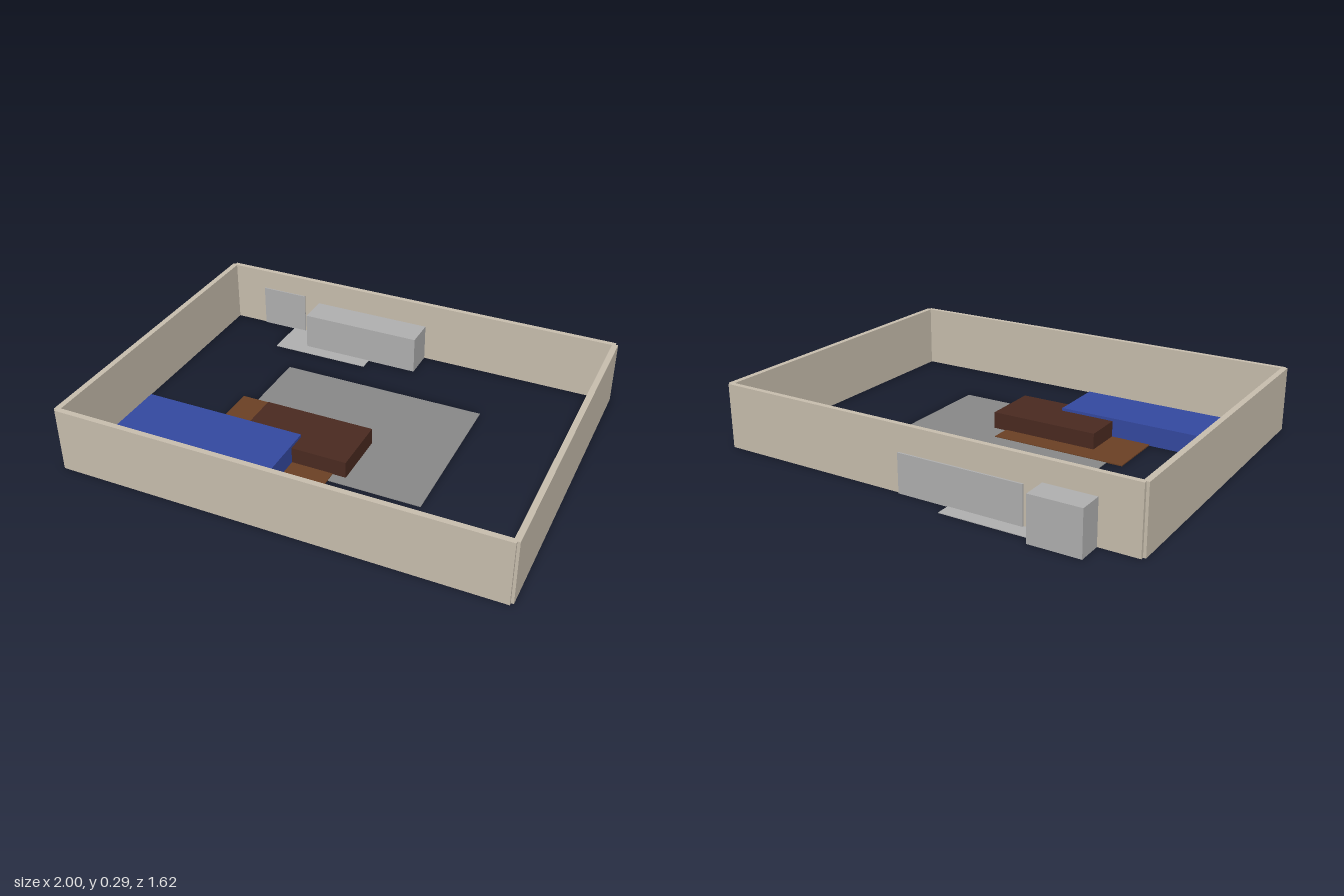
import * as THREE from 'three';

// Box given by its extents in x, y and z
function block(name, color, [x0, x1], [y0, y1], [z0, z1]) {
  const mesh = new THREE.Mesh(
    new THREE.BoxGeometry(x1 - x0, y1 - y0, z1 - z0),
    new THREE.MeshStandardMaterial({ color })
  );
  mesh.position.set((x0 + x1) / 2, (y0 + y1) / 2, (z0 + z1) / 2);
  mesh.name = name;
  return mesh;
}

export function createModel() {
  const room = new THREE.Group();
  room.name = 'room';
  const TAN = 0xc8beae, GREY = 0xb0b0b0;

  // Four walls, overlapping at the corners
  const walls = new THREE.Group();
  walls.name = 'walls';
  const height = [0, 0.295];
  walls.add(
    block('backWall', TAN, [-0.988, 0.988], height, [-0.7, -0.676]),
    block('frontWall', TAN, [-0.988, 0.988], height, [0.78, 0.805])
  );
  for (const [name, s] of [['leftWall', 1], ['rightWall', -1]]) {
    const wall = block(name, TAN, [0.974, 1], height, [-0.686, 0.793]);
    wall.position.x *= s;
    walls.add(wall);
  }
  room.add(walls);

  // Kitchen units and floor panel at the back wall
  const units = new THREE.Group();
  units.name = 'backUnits';
  units.add(
    block('tallUnit', GREY, [-0.813, -0.583], [0, 0.2], [-0.813, -0.67]),
    block('longUnit', GREY, [-0.505, 0.073], [0, 0.177], [-0.708, -0.533]),
    block('floorPanel', GREY, [-0.647, -0.166], [0, 0.003], [-0.772, -0.472])
  );
  room.add(units);

  // Floor coverings, layered very thinly
  room.add(
    block('floorRug', 0x888888, [-0.493, 0.488], [0, 0.003], [-0.317, 0.419]),
    block('brownRug', 0x6b4024, [-0.567, 0.07], [0.001, 0.006], [0.006, 0.462])
  );

  // Low table and sofa
  room.add(
    block('table', 0x4a2a20, [-0.382, 0.131], [0.001, 0.08], [0.1, 0.372]),
    block('sofa', 0x3449a0, [-0.888, -0.123], [0, 0.093], [0.282, 0.552])
  );
  return room;
}
